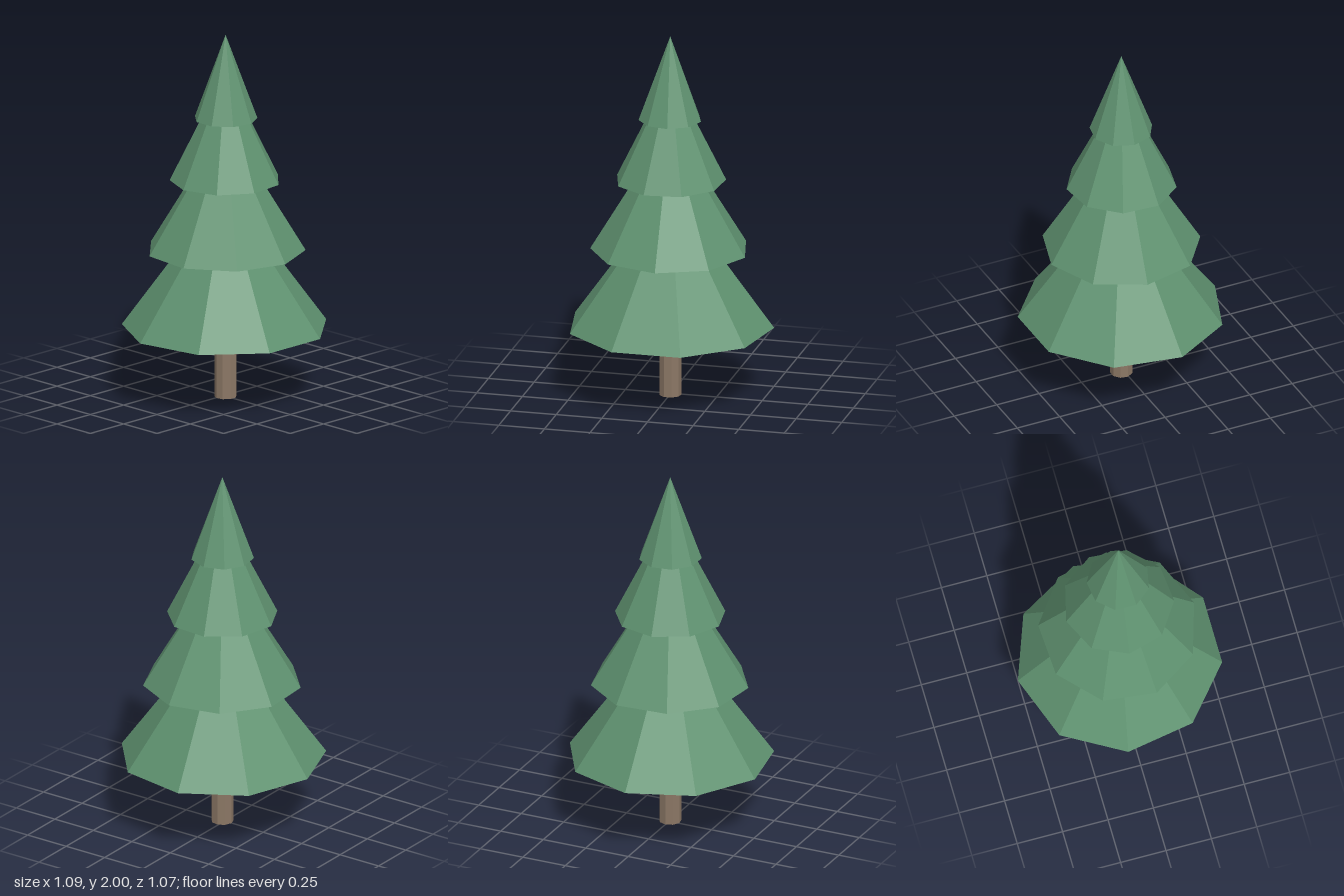
import * as THREE from 'three';

const SIDES = 9;
const CENTER_Z = 0.015;
const rad = THREE.MathUtils.degToRad;

export function createModel() {
  const tree = new THREE.Group();
  tree.name = 'pineTree';

  const foliage = new THREE.MeshStandardMaterial({ color: 0x5f9270, flatShading: true });
  foliage.name = 'foliage green';
  const bark = new THREE.MeshStandardMaterial({ color: 0x8b7765, flatShading: true });
  bark.name = 'bark brown';

  // Straight trunk, ending just inside the lowest tier
  const trunkHeight = 0.42;
  const trunk = new THREE.Mesh(
    new THREE.CylinderGeometry(0.06, 0.06, trunkHeight, SIDES, 1, false, rad(20)), bark);
  trunk.name = 'trunk';
  trunk.position.set(0, trunkHeight / 2, CENTER_Z);
  tree.add(trunk);

  // Overlapping cones, each turned by its own angle
  const tiers = [
    { name: 'bottomTier', base: 0.385, tip: 1.15, radius: 0.553, turn: 20 },
    { name: 'lowerMiddleTier', base: 0.813, tip: 1.51, radius: 0.425, turn: 3.3 },
    { name: 'upperMiddleTier', base: 1.197, tip: 1.8, radius: 0.297, turn: 26 },
    { name: 'topTier', base: 1.537, tip: 2, radius: 0.169, turn: 9 },
  ];
  for (const { name, base, tip, radius, turn } of tiers) {
    const height = tip - base;
    const tier = new THREE.Mesh(
      new THREE.ConeGeometry(radius, height, SIDES, 1, false, rad(turn)), foliage);
    tier.name = name;
    tier.position.set(0, base + height / 2, CENTER_Z);
    tree.add(tier);
  }

  return tree;
}
